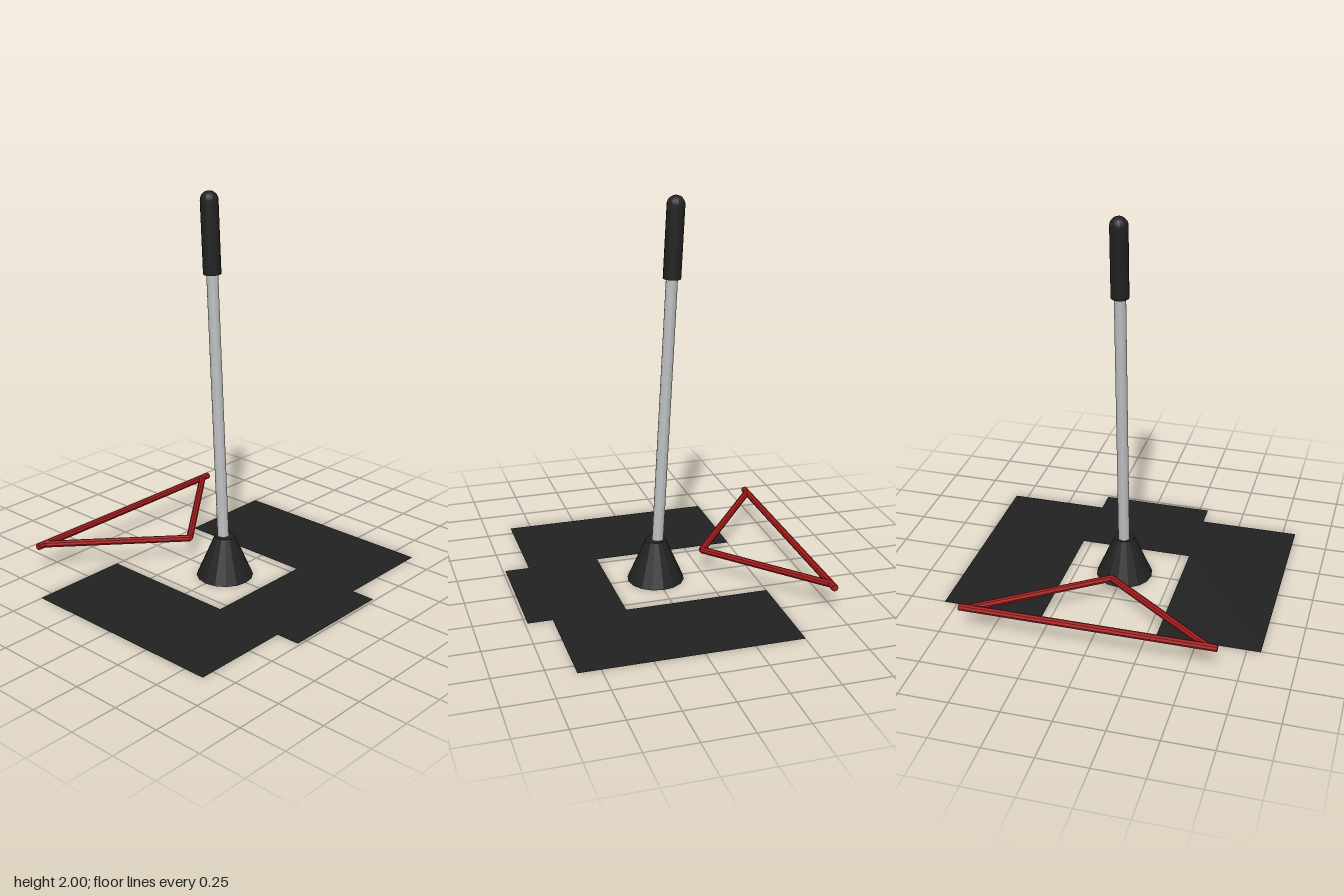
import * as THREE from 'three';

export function createModel() {
  const black = new THREE.MeshStandardMaterial({ color: 0x222222 });
  black.name = 'black rubber';
  const mat = new THREE.MeshStandardMaterial({ color: 0x222222, side: THREE.DoubleSide });
  mat.name = 'black mat';
  const steel = new THREE.MeshStandardMaterial({ color: 0xbfc0c2 });
  steel.name = 'grey steel';
  const red = new THREE.MeshStandardMaterial({ color: 0xa81c1c });
  red.name = 'red paint';

  const model = new THREE.Group();
  model.name = 'leverAssembly';

  // faceted mesh helper
  const add = (name, geometry, material, parent = model) => {
    const flat = geometry.index ? geometry.toNonIndexed() : geometry;
    flat.computeVertexNormals();
    const mesh = new THREE.Mesh(flat, material);
    mesh.name = name;
    parent.add(mesh);
    return mesh;
  };

  // round bar between two points
  const bar = (name, a, b, radius, sides, material) => {
    const dir = b.clone().sub(a);
    const mesh = add(name, new THREE.CylinderGeometry(radius, radius, dir.length(), sides), material);
    mesh.position.copy(a).add(b).multiplyScalar(0.5);
    mesh.quaternion.setFromUnitVectors(new THREE.Vector3(0, 1, 0), dir.normalize());
  };

  // flat floor mat: U shape with a front tab (shape y becomes -z)
  const half = [[0.297, -0.737], [0.297, -0.612], [0.818, -0.612], [0.818, 0.503], [0.297, 0.503], [0.297, -0.24]];
  const outline = [...half, ...half.map(([x, y]) => [-x, y]).reverse()];
  const shape = new THREE.Shape(outline.map(([x, y]) => new THREE.Vector2(x, y)));
  add('floorMat', new THREE.ShapeGeometry(shape).rotateX(-Math.PI / 2), mat);

  // conical boot
  add('boot', new THREE.CylinderGeometry(0.053, 0.147, 0.22, 16).translate(0, 0.11, 0), black);

  // lever leaning slightly backwards
  const lever = new THREE.Group();
  lever.name = 'lever';
  lever.rotation.x = -0.052;
  model.add(lever);
  add('shaft', new THREE.CylinderGeometry(0.03, 0.03, 1.75, 12).translate(0, 0.975, 0), steel, lever);
  add('grip', new THREE.CylinderGeometry(0.045, 0.045, 0.362, 16).translate(0, 1.777, 0), black, lever);
  add('gripCap', new THREE.SphereGeometry(0.045, 16, 8, 0, Math.PI * 2, 0, Math.PI / 2).translate(0, 1.958, 0), black, lever);

  // triangular red frame
  const apex = new THREE.Vector3(0, 0.124, -0.253);
  const corner = (x) => new THREE.Vector3(x, 0.149, -0.724);
  bar('frameRearBar', corner(-0.645), corner(0.645), 0.018, 8, red);
  bar('frameLeftBar', apex, corner(0.6), 0.018, 8, red);
  bar('frameRightBar', apex, corner(-0.6), 0.018, 8, red);

  return model;
}
